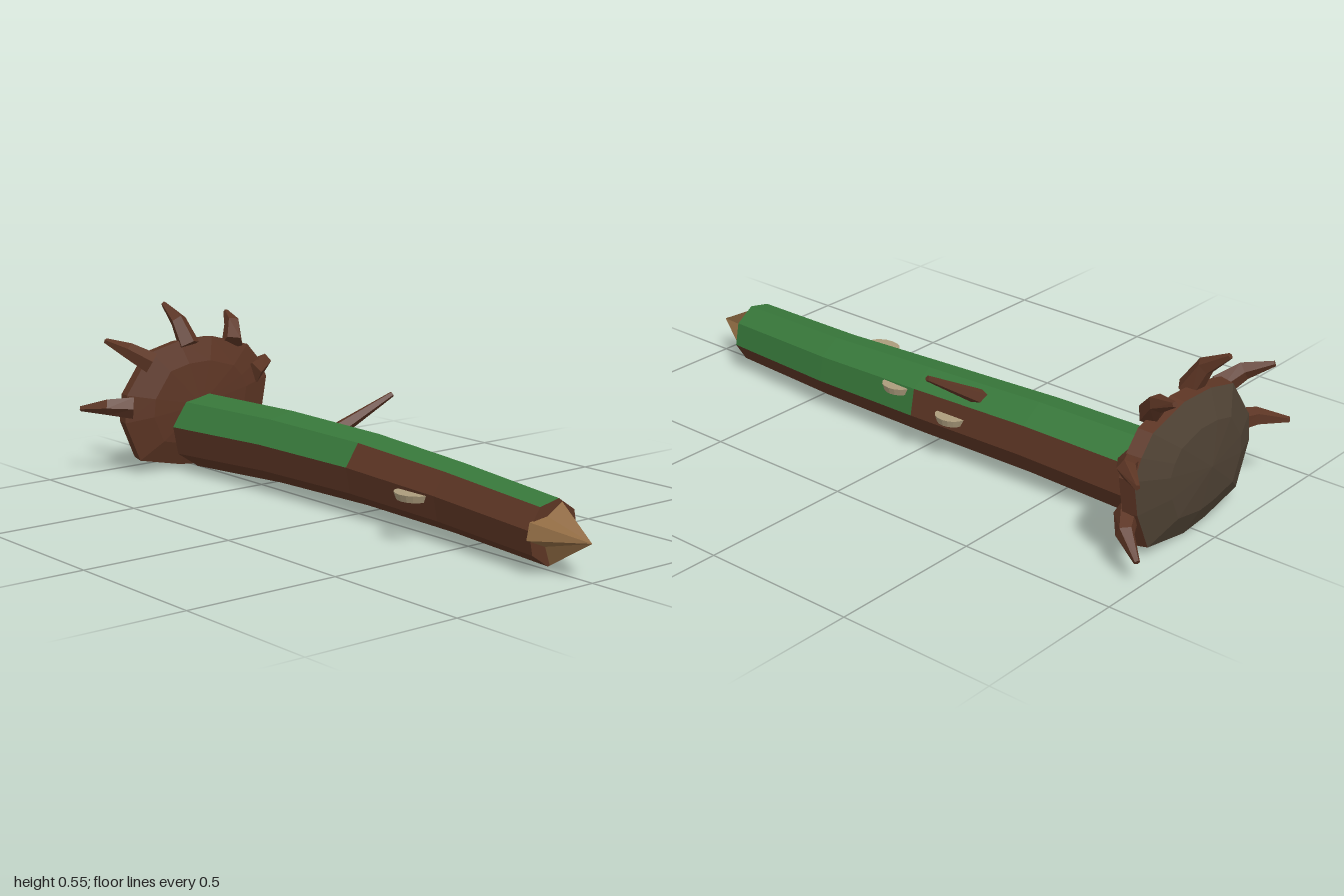
import * as THREE from 'three';

const material = (name, color, side = THREE.FrontSide) => {
  const m = new THREE.MeshStandardMaterial({ color, side, flatShading: true });
  m.name = name;
  return m;
};
const V = (x, y, z) => new THREE.Vector3(x, y, z);

// Skins a series of rings; pick(segment, side) chooses the material index.
function loft(name, rings, materials, pick = () => 0) {
  const buckets = materials.map(() => []);
  const tri = (out, a, b, c) => {
    const area = b.clone().sub(a).cross(c.clone().sub(a)).length();
    if (area > 1e-9) for (const p of [a, b, c]) out.push(p.x, p.y, p.z);
  };
  for (let i = 0; i < rings.length - 1; i++) {
    const n = rings[i].length;
    for (let j = 0; j < n; j++) {
      const k = (j + 1) % n, out = buckets[pick(i, j)];
      tri(out, rings[i][j], rings[i + 1][j], rings[i + 1][k]);
      tri(out, rings[i][j], rings[i + 1][k], rings[i][k]);
    }
  }
  const g = new THREE.BufferGeometry();
  let start = 0;
  buckets.forEach((b, i) => {
    g.addGroup(start, b.length / 3, i);
    start += b.length / 3;
  });
  g.setAttribute('position', new THREE.Float32BufferAttribute(buckets.flat(), 3));
  g.computeVertexNormals();
  const mesh = new THREE.Mesh(g, materials.length > 1 ? materials : materials[0]);
  mesh.name = name;
  return mesh;
}

// A bent, tapering limb with five sides and closed ends.
function limb(name, path, radii, mat) {
  const rings = path.map((p, i) => {
    const d = path[Math.min(i + 1, path.length - 1)].clone()
      .sub(path[Math.max(i - 1, 0)]).normalize();
    const u = V(1, 0, 0).addScaledVector(d, -d.x).normalize();
    const v = u.clone().cross(d);
    return Array.from({ length: 5 }, (_, j) => {
      const a = j / 5 * Math.PI * 2;
      return p.clone().addScaledVector(u, radii[i] * Math.cos(a))
        .addScaledVector(v, radii[i] * Math.sin(a));
    });
  });
  const point = p => Array(5).fill(p);
  return loft(name, [point(path[0]), ...rings, point(path[path.length - 1])], [mat]);
}

export function createModel() {
  const group = new THREE.Group();
  const bark = material('bark brown', 0x5c3524);
  const moss = material('moss green', 0x37773a);
  const wood = material('split wood tan', 0x8f6a42);
  const earth = material('earth grey brown', 0x4f4234);
  const fungus = material('fungus beige', 0xac9c7c, THREE.DoubleSide);

  // Eight-sided trunk: x, centre y, centre z, radius
  const stations = [
    [-0.84, 0.13, -0.01, 0], [-0.84, 0.13, -0.01, 0.125], [-0.4, 0.143, -0.028, 0.118],
    [0.02, 0.14, -0.042, 0.112], [0.42, 0.128, -0.035, 0.104],
    [0.845, 0.115, -0.002, 0.097], [0.845, 0.115, -0.002, 0],
  ];
  const trunkRings = stations.map(([x, y, z, r]) => Array.from({ length: 8 }, (_, j) => {
    const a = 0.2 + j * Math.PI / 4;
    return V(x, y + r * Math.sin(a), z + r * Math.cos(a));
  }));
  // Moss covers three upper sides, shifting to the back past the middle
  group.add(loft('trunk', trunkRings, [bark, moss], (i, j) => {
    if (i === 1 || i === 2) return j < 3 ? 1 : 0;
    if (i === 3 || i === 4) return j > 0 && j < 4 ? 1 : 0;
    return 0;
  }));

  // Star-shaped splintered end: z, y of the base corners
  const star = [[0.1, 0.107], [0.089, 0.158], [0.023, 0.166], [-0.035, 0.2], [-0.043, 0.14],
    [-0.087, 0.088], [-0.032, 0.085], [0.01, 0.02], [0.03, 0.078]];
  group.add(loft('splinteredEnd', [
    star.map(([z, y]) => V(0.842, y, z)), star.map(() => V(1, 0.115, 0.004)),
  ], [wood]));

  // Root plate: z, y outline, domed on both faces
  const outline = [[0.277, 0.183], [0.267, 0.276], [0.17, 0.41], [0.054, 0.437], [-0.08, 0.44],
    [-0.23, 0.396], [-0.28, 0.338], [-0.31, 0.275], [-0.288, 0.158], [-0.23, 0.032],
    [-0.05, 0.003], [0.06, 0.013], [0.22, 0.048]];
  const plateRing = ([x, s]) => outline.map(([z, y]) => V(x, 0.22 + (y - 0.22) * s, z * s));
  group.add(loft('rootPlate',
    [[-0.978, 0], [-0.965, 0.6], [-0.925, 0.97], [-0.88, 1], [-0.85, 0.65], [-0.832, 0]].map(plateRing),
    [bark, earth], i => (i < 2 ? 1 : 0)));

  // Broken roots curling backwards: y, z of base, bend and tip
  const roots = [
    [0.42, 0.022, 0.5, 0.033, 0.55, 0.04],
    [0.41, -0.16, 0.468, -0.193, 0.497, -0.22],
    [0.295, -0.24, 0.32, -0.325, 0.31, -0.378],
    [0.142, -0.25, 0.122, -0.32, 0.076, -0.365],
    [0.375, 0.175, 0.418, 0.235, 0.447, 0.276],
    [0.235, 0.25, 0.24, 0.32, 0.23, 0.38],
  ];
  for (const [y0, z0, y1, z1, y2, z2] of roots) {
    group.add(limb('root', [V(-0.87, y0, z0), V(-0.915, y1, z1), V(-0.99, y2, z2)],
      [0.038, 0.028, 0.009], bark));
  }

  // Snapped side branch
  group.add(limb('branch', [V(-0.21, 0.215, -0.07), V(-0.14, 0.328, -0.255)], [0.027, 0.009], bark));

  // Shelf fungi: x, y, z of the flat edge, radius, facing
  for (const [x, y, z, r, turn] of [
    [0.375, 0.148, 0.11, 0.062, 0], [0.095, 0.183, -0.128, 0.052, Math.PI],
    [-0.13, 0.151, -0.14, 0.052, Math.PI],
  ]) {
    const shelf = new THREE.Mesh(
      new THREE.CylinderGeometry(r, r * 0.85, 0.022, 8, 1, false, -Math.PI / 2, Math.PI), fungus);
    shelf.name = 'shelfFungus';
    shelf.position.set(x, y, z);
    shelf.rotation.y = turn;
    shelf.scale.z = 0.78;
    group.add(shelf);
  }
  return group;
}
